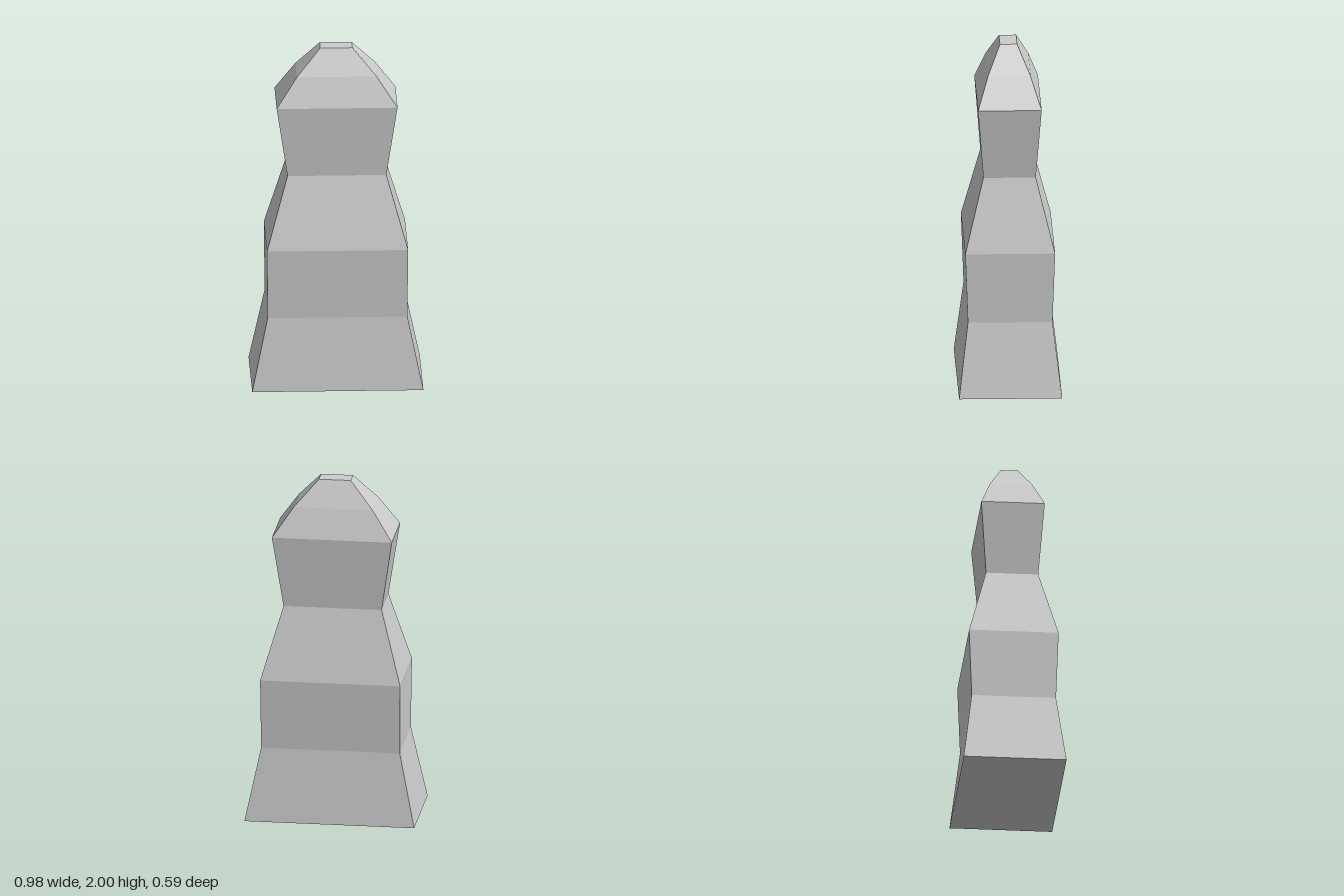
import * as THREE from 'three';

// Cross-sections from bottom to top: [height, half width, half depth]
const sections = [
  [0, 0.49, 0.295],
  [0.43, 0.4, 0.242],
  [0.84, 0.404, 0.257],
  [1.26, 0.283, 0.15],
  [1.68, 0.346, 0.182],
  [1.85, 0.228, 0.122],
  [2, 0.092, 0.049],
];

export function createModel() {
  const group = new THREE.Group();
  group.name = 'taperedPillar';

  // A box with one height segment per band, each ring fitted to its section
  const bands = sections.length - 1;
  const geometry = new THREE.BoxGeometry(2, bands, 2, 1, bands, 1);
  const position = geometry.attributes.position;
  for (let i = 0; i < position.count; i++) {
    const level = Math.round(position.getY(i) + bands / 2);
    const [y, halfWidth, halfDepth] = sections[level];
    position.setXYZ(i, position.getX(i) * halfWidth, y, position.getZ(i) * halfDepth);
  }

  // Separate the faces so every band keeps a crisp edge
  const faceted = geometry.toNonIndexed();
  faceted.computeVertexNormals();

  const material = new THREE.MeshStandardMaterial({ color: 0xcccccc, flatShading: true });
  const body = new THREE.Mesh(faceted, material);
  body.name = 'pillarBody';
  group.add(body);
  return group;
}
